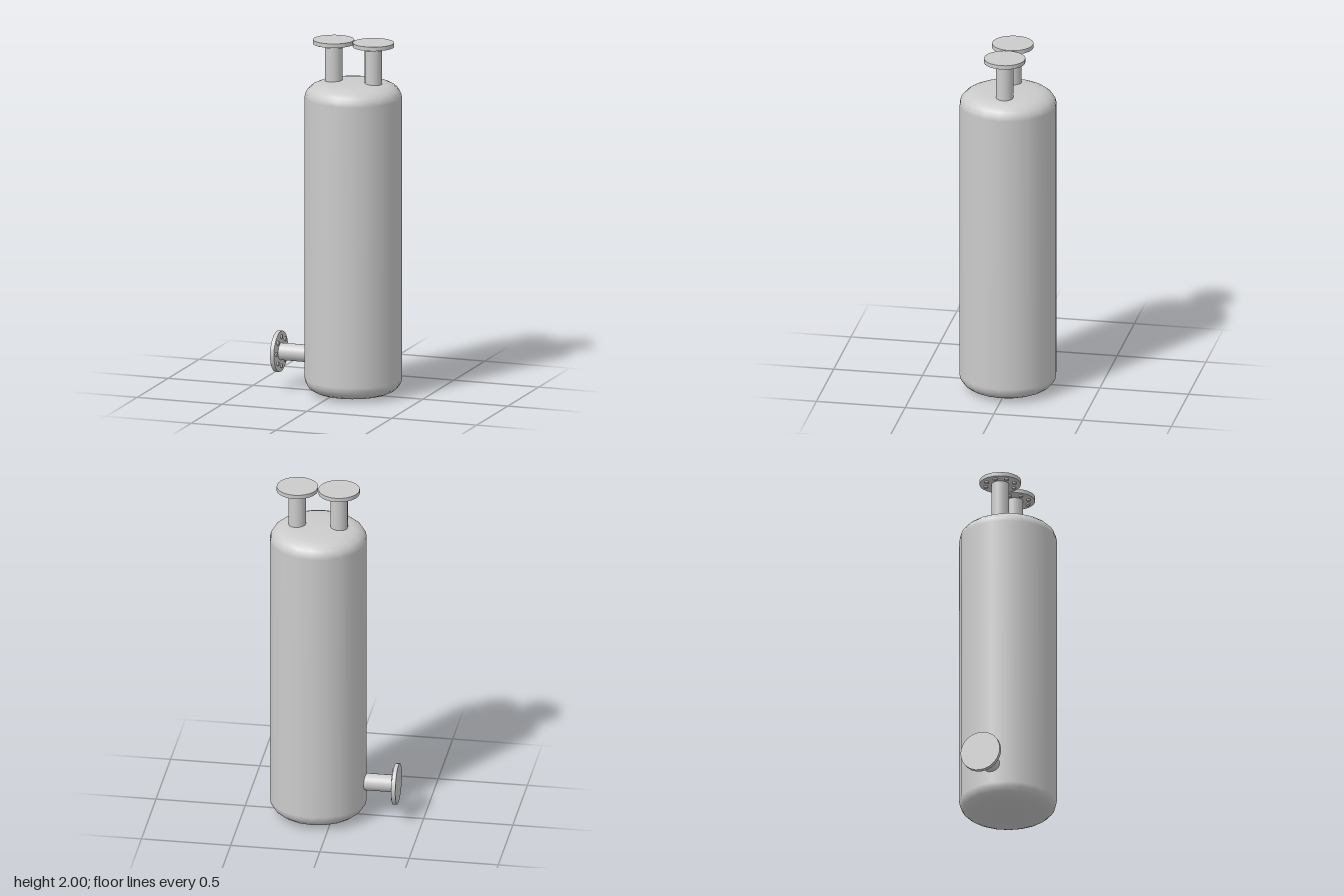
import * as THREE from 'three';

const grey = new THREE.MeshStandardMaterial({ color: 0xcccccc });

function part(name, geometry, parent) {
  const mesh = new THREE.Mesh(geometry, grey);
  mesh.name = name;
  parent.add(mesh);
  return mesh;
}

// Nozzle along +y: the origin is the flange's outer face, the pipe runs down from it
function makeNozzle(name, length) {
  const nozzle = new THREE.Group();
  nozzle.name = name;
  const thick = 0.023;

  part('flange', new THREE.CylinderGeometry(0.115, 0.115, thick, 24), nozzle).position.y = -thick / 2;
  const pipeLength = length - thick;
  part('pipe', new THREE.CylinderGeometry(0.048, 0.048, pipeLength, 24, 1, true), nozzle)
    .position.y = -thick - pipeLength / 2;

  // Ring of bolt heads on the inner face of the flange
  const boltGeometry = new THREE.CylinderGeometry(0.012, 0.012, 0.012, 8);
  for (let i = 0; i < 8; i++) {
    const a = (i / 8) * Math.PI * 2;
    part('bolt', boltGeometry, nozzle)
      .position.set(Math.cos(a) * 0.083, -thick - 0.003, Math.sin(a) * 0.083);
  }
  return nozzle;
}

export function createModel() {
  const model = new THREE.Group();
  model.name = 'pressureVessel';
  const tankX = 0.09, height = 1.772;

  // Tank body: gently domed ends with rounded shoulders, mirrored top and bottom
  const end = [[0, 0], [0.1, 0.002], [0.16, 0.006], [0.2, 0.013], [0.23, 0.026],
    [0.252, 0.044], [0.265, 0.065], [0.27, 0.09]];
  const profile = [
    ...end.map(([r, y]) => new THREE.Vector2(r, y)),
    ...end.slice().reverse().map(([r, y]) => new THREE.Vector2(r, height - y)),
  ];
  part('tank', new THREE.LatheGeometry(profile, 20), model).position.x = tankX;

  // Two nozzles on the top
  for (const [name, side] of [['topNozzleRight', -1], ['topNozzleLeft', 1]]) {
    const nozzle = makeNozzle(name, 0.25);
    nozzle.position.set(tankX + side * 0.117, 2, -0.004);
    model.add(nozzle);
  }

  // Drain nozzle low on the side
  const drain = makeNozzle('sideNozzle', 0.2);
  drain.rotation.z = Math.PI / 2;
  drain.position.set(-0.36, 0.205, -0.004);
  model.add(drain);

  return model;
}
